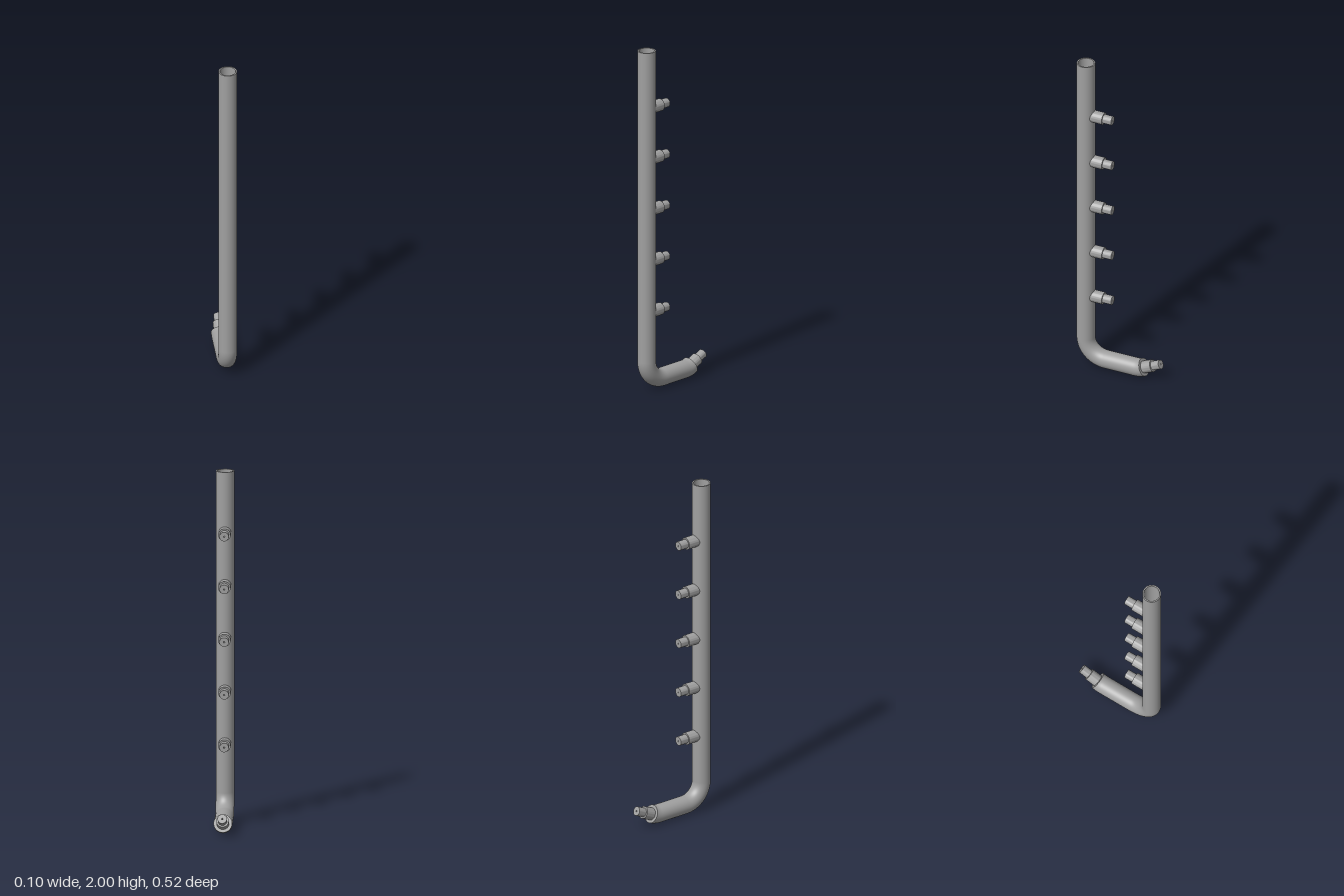
import * as THREE from 'three';
import { toCreasedNormals } from 'three/addons/utils/BufferGeometryUtils.js';

const R = 0.052;          // pipe outer radius
const BORE = 0.044;       // pipe inner radius
const BEND = 0.122;       // bend radius of the centre line
const PIPE_Z = 0.208;     // z of the upright pipe
const TILT = THREE.MathUtils.degToRad(24); // upward kick of the lower end

// Circular arc in the yz plane
class Arc extends THREE.Curve {
  constructor(y, z, from, to) {
    super();
    Object.assign(this, { y, z, from, to });
  }
  getPoint(t, target = new THREE.Vector3()) {
    const a = this.from + (this.to - this.from) * t;
    return target.set(0, this.y + BEND * Math.sin(a), this.z + BEND * Math.cos(a));
  }
}

// Stepped spray nozzle along +y with a fine blind bore; the base may be saddled onto a pipe
function nozzleGeometry(base, collarEnd, tip, saddle) {
  const profile = [
    [0.035, base], [0.035, collarEnd], [0.026, collarEnd], [0.026, tip],
    [0.004, tip], [0.004, tip - 0.05], [0, tip - 0.05],
  ].map(([r, y]) => new THREE.Vector2(r, y));
  const geometry = new THREE.LatheGeometry(profile, 40);
  const p = geometry.attributes.position;
  if (saddle) {
    for (let i = 0; i < p.count; i++) {
      if (Math.abs(p.getY(i) - base) < 1e-5) p.setY(i, Math.sqrt(0.05 ** 2 - p.getX(i) ** 2));
    }
  }
  return toCreasedNormals(geometry, 0.6);
}

export function createModel() {
  const group = new THREE.Group();
  const metal = new THREE.MeshStandardMaterial({ color: 0xa0a0a0, side: THREE.DoubleSide });
  metal.name = 'grey metal';

  function add(name, geometry, parent = group) {
    const mesh = new THREE.Mesh(geometry, metal);
    mesh.name = name;
    parent.add(mesh);
    return mesh;
  }

  // Centre line: upright, quarter bend, foot, short upward bend
  const bendY = R + BEND;
  const bendZ = PIPE_Z - BEND;
  const kickZ = -0.098;
  const kick = new Arc(bendY, kickZ, -Math.PI / 2, -Math.PI / 2 - TILT);
  const sections = [
    ['upright', new THREE.LineCurve3(new THREE.Vector3(0, 2, PIPE_Z), new THREE.Vector3(0, bendY, PIPE_Z)), 1],
    ['elbow', new Arc(bendY, bendZ, 0, -Math.PI / 2), 20],
    ['foot', new THREE.LineCurve3(new THREE.Vector3(0, R, bendZ), new THREE.Vector3(0, R, kickZ)), 1],
    ['footBend', kick, 8],
  ];
  for (const [name, curve, steps] of sections) {
    add(name + 'Outer', new THREE.TubeGeometry(curve, steps, R, 48));
    add(name + 'Inner', new THREE.TubeGeometry(curve, steps, BORE, 48));
  }

  // Open rim at the top, closed plate at the lower end
  const rim = add('topRim', new THREE.RingGeometry(BORE, R, 48));
  rim.rotation.x = -Math.PI / 2;
  rim.position.set(0, 2, PIPE_Z);
  const end = kick.getPoint(1);
  const plate = add('endPlate', new THREE.CircleGeometry(R, 48));
  plate.rotation.x = Math.PI + TILT;
  plate.position.copy(end);

  // Row of nozzles facing back from the upright
  const side = nozzleGeometry(0.03, 0.111, 0.164, true);
  for (let i = 0; i < 5; i++) {
    const nozzle = add('sideNozzle' + (i + 1), side);
    nozzle.rotation.x = -Math.PI / 2;
    nozzle.position.set(0, 0.455 + i * 0.3, PIPE_Z);
  }

  // Tilted nozzle on the end plate
  const endNozzle = add('endNozzle', nozzleGeometry(0, 0.061, 0.113, false));
  endNozzle.rotation.x = -Math.PI / 2 + TILT;
  endNozzle.position.copy(end);

  return group;
}
